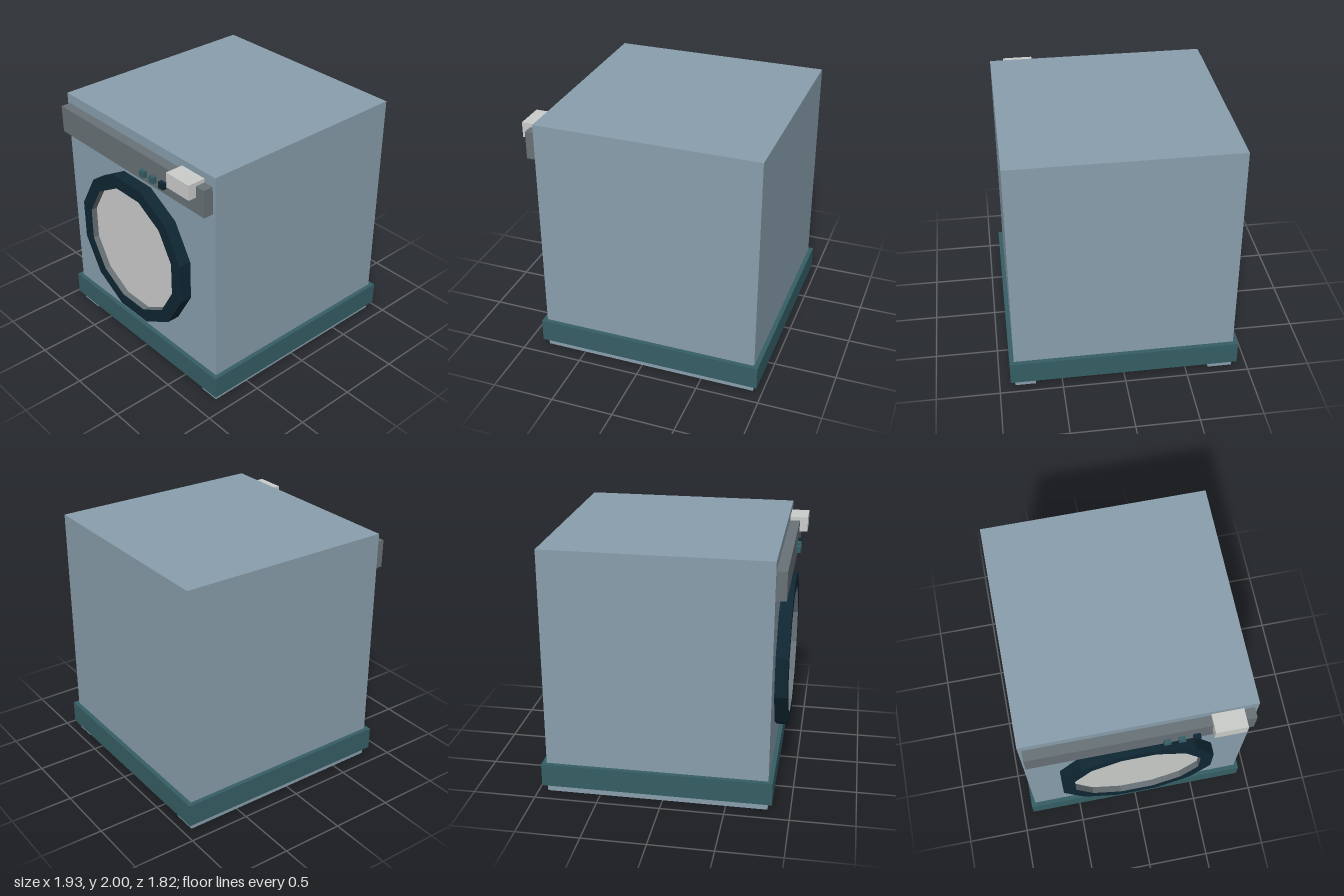
import * as THREE from 'three';

const material = (name, color) => {
  const m = new THREE.MeshStandardMaterial({ color, flatShading: true });
  m.name = name;
  return m;
};

export function createModel() {
  const group = new THREE.Group();
  const body = material('blue grey', 0x889eac);
  const teal = material('teal', 0x355e64);
  const grey = material('dark grey', 0x687176);
  const navy = material('navy', 0x0f2733);
  const white = material('off white', 0xcaccca);

  const add = (name, geometry, mat) => {
    const mesh = new THREE.Mesh(geometry, mat);
    mesh.name = name;
    group.add(mesh);
    return mesh;
  };
  // box given by its extents along each axis
  const box = (name, mat, [x0, x1], [y0, y1], [z0, z1]) =>
    add(name, new THREE.BoxGeometry(x1 - x0, y1 - y0, z1 - z0), mat)
      .position.set((x0 + x1) / 2, (y0 + y1) / 2, (z0 + z1) / 2);

  // cabinet, plinth band and floor rails
  const wide = [-0.825, 0.927];
  box('cabinet', body, wide, [0.06, 2], [-0.877, 0.877]);
  box('plinthBand', teal, [-0.86, 0.963], [0.062, 0.248], [-0.912, 0.912]);
  box('leftRail', body, wide, [0, 0.06], [0.713, 0.877]);
  box('rightRail', body, wide, [0, 0.06], [-0.877, -0.683]);

  // control panel with drawer and buttons
  box('controlPanel', grey, [-0.905, -0.825], [1.7, 1.92], [-0.85, 0.85]);
  box('detergentDrawer', white, [-0.97, -0.825], [1.83, 1.95], [0.527, 0.767]);
  [0.195, 0.305, 0.415].forEach((z, i) =>
    box('button' + (i + 1), i < 2 ? teal : navy, [-0.938, -0.9], [1.75, 1.802], [z - 0.026, z + 0.026]));

  // twelve-sided round door: rim, inner lining and recessed window, all facing -x
  const R = 0.626, r = 0.52, depth = 0.1, recess = 0.05;
  const ring = (points) => new THREE.LatheGeometry(
    points.map(([x, y]) => new THREE.Vector2(x, y)), 12, Math.PI / 12);
  const door = [
    add('doorRim', ring([[R, 0], [R, depth], [r, depth]]), navy),
    add('doorLining', ring([[r, depth], [r, recess]]), grey),
    add('doorWindow', new THREE.CylinderGeometry(r, r, recess, 12, 1, false, Math.PI / 12)
      .translate(0, recess / 2, 0), white),
  ];
  door.forEach((mesh) => {
    mesh.rotation.z = Math.PI / 2;
    mesh.position.set(-0.825, 0.995, -0.01);
  });

  return group;
}
